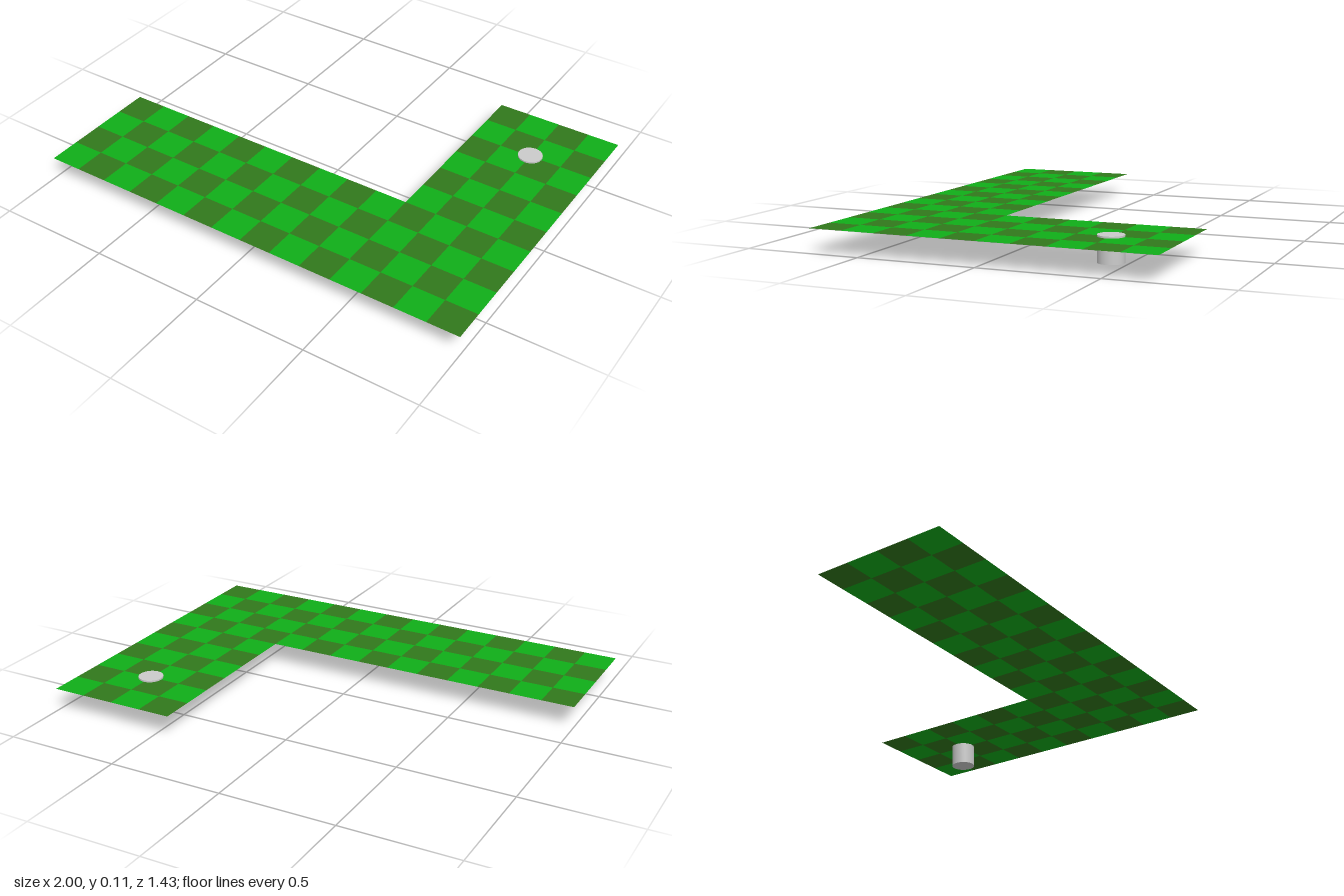
import * as THREE from 'three';
import { mergeGeometries } from 'three/addons/utils/BufferGeometryUtils.js';

const TILE = 1 / 7;
const COLS = 14, ROWS = 10, LANE = 4;
const GROUND_Y = 0.1;

// Thin checkered turf: an L made of two four-tile-wide lanes
function turf(name, parity, color) {
  const tiles = [];
  for (let row = 0; row < ROWS; row++) {
    for (let col = 0; col < COLS; col++) {
      const inCourse = row >= ROWS - LANE || col >= COLS - LANE;
      if (!inCourse || (row + col) % 2 !== parity) continue;
      tiles.push(new THREE.PlaneGeometry(TILE, TILE)
        .rotateX(-Math.PI / 2)
        .translate((col + 0.5 - COLS / 2) * TILE, GROUND_Y, (row + 0.5 - ROWS / 2) * TILE));
    }
  }
  const mesh = new THREE.Mesh(
    mergeGeometries(tiles),
    new THREE.MeshStandardMaterial({ color, side: THREE.DoubleSide }));
  mesh.name = name;
  return mesh;
}

export function createModel() {
  const model = new THREE.Group();
  model.name = 'golfCourse';
  model.add(turf('darkTurf', 0, 0x31791c), turf('lightTurf', 1, 0x10ae18));

  // Cup sunk through the turf, its rim just proud of the surface
  const height = TILE * 0.75;
  const cup = new THREE.Mesh(
    new THREE.CylinderGeometry(height / 2, height / 2, height, 32),
    new THREE.MeshStandardMaterial({ color: 0xcccccc }));
  cup.name = 'cup';
  cup.position.set(5 * TILE, height / 2, -3 * TILE);
  model.add(cup);

  return model;
}
